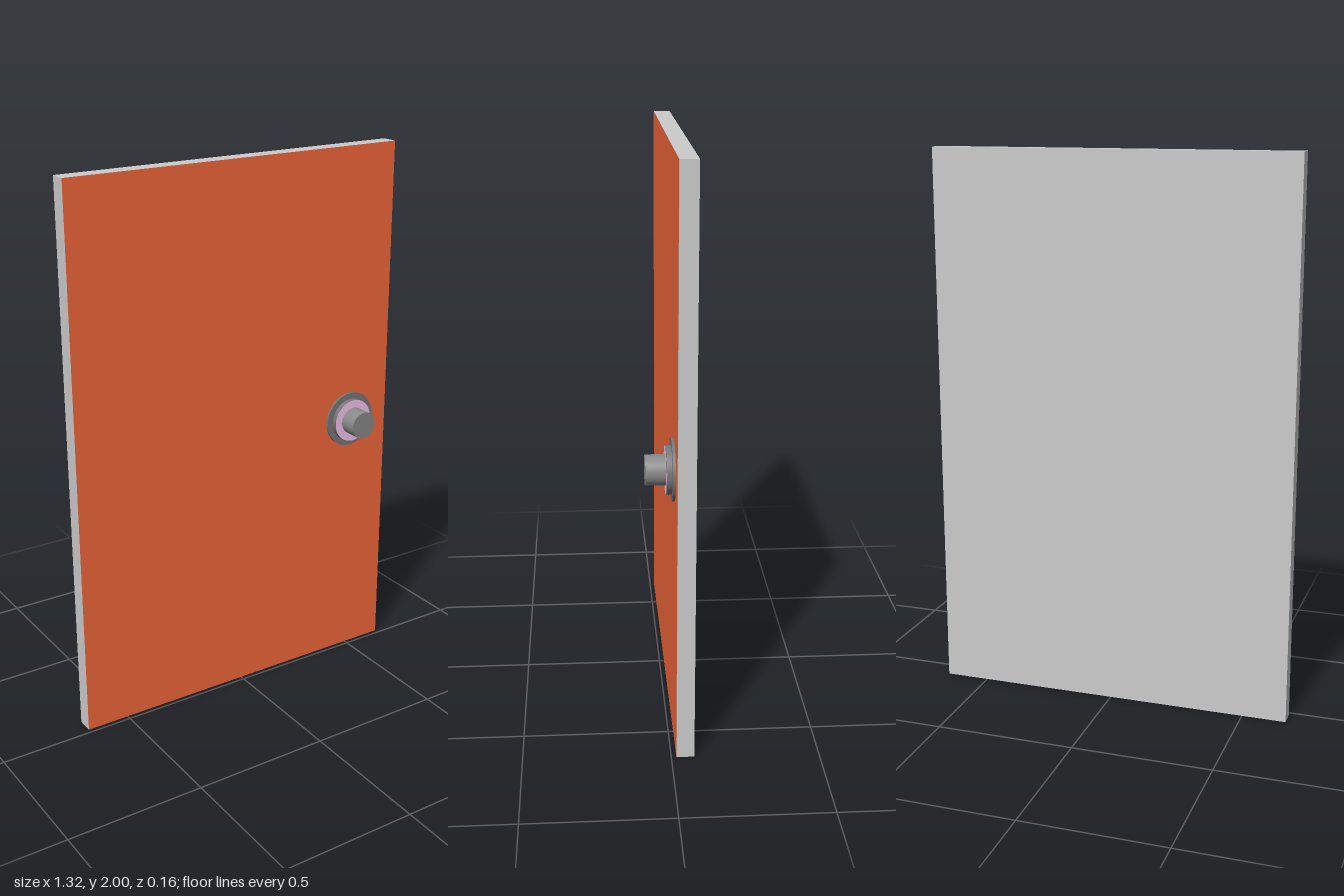
import * as THREE from 'three';

const SIDES = 48;
const FRONT = -0.018; // z of the door's front face

const mat = (color) => new THREE.MeshStandardMaterial({ color });

function addMesh(parent, name, geometry, material, x, y, z) {
  const mesh = new THREE.Mesh(geometry, material);
  mesh.name = name;
  mesh.position.set(x, y, z);
  parent.add(mesh);
  return mesh;
}

// Disc whose axis points to the front, from z0 to z1
function addDisc(parent, name, radius, z0, z1, material) {
  const geometry = new THREE.CylinderGeometry(radius, radius, z1 - z0, SIDES);
  geometry.rotateX(Math.PI / 2);
  return addMesh(parent, name, geometry, material, 0, 0, (z0 + z1) / 2);
}

export function createModel() {
  const model = new THREE.Group();
  model.name = 'door';

  // Plain slab with a painted front
  const depth = 0.06;
  addMesh(model, 'doorPanel', new THREE.BoxGeometry(1.32, 2, depth), mat(0xcccccc), 0, 1, FRONT - depth / 2);
  addMesh(model, 'paintedFront', new THREE.PlaneGeometry(1.32, 2), mat(0xf5683b), 0, 1, FRONT + 0.001);

  // Stepped round handle on the left side
  const handle = new THREE.Group();
  handle.name = 'doorHandle';
  handle.position.set(0.487, 0.972, 0);
  model.add(handle);

  const darkMetal = mat(0x777777);
  addDisc(handle, 'backPlate', 0.104, FRONT, -0.008, darkMetal);
  addDisc(handle, 'collar', 0.081, -0.008, 0.01, darkMetal);
  addMesh(handle, 'collarFace', new THREE.RingGeometry(0.05, 0.081, SIDES), mat(0xf8c6f2), 0, 0, 0.011);
  addDisc(handle, 'knob', 0.051, 0.01, 0.078, mat(0x8a8a8a));

  return model;
}
